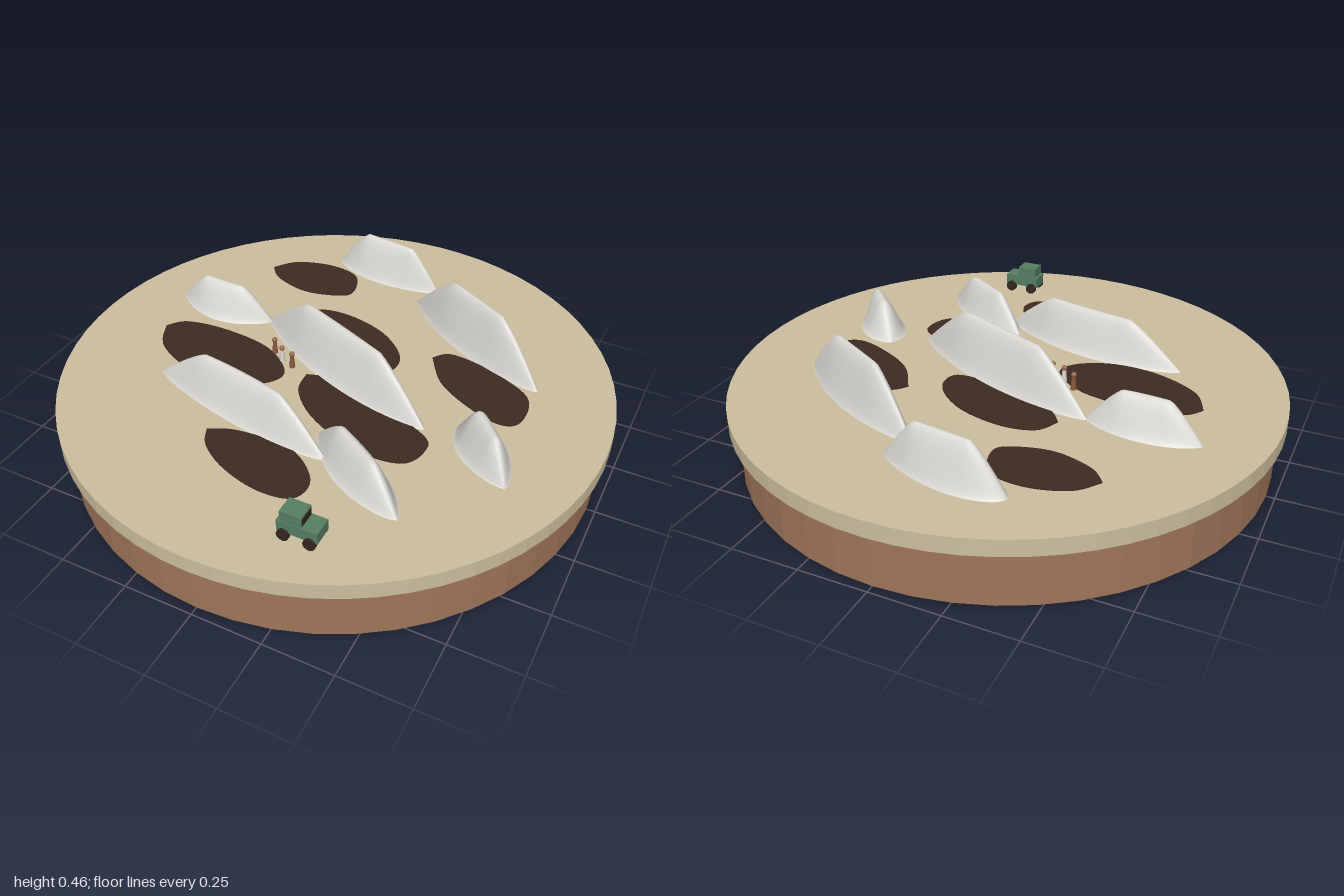
import * as THREE from 'three';

const mat = (name, color, extra = {}) => {
  const m = new THREE.MeshStandardMaterial({ color, ...extra });
  m.name = name;
  return m;
};

const GROUND = 0.26;

export function createModel() {
  const earth = mat('earthBrown', 0xa0765a, { flatShading: true });
  const sand = mat('sand', 0xcdbf9f, { flatShading: true });
  const pale = mat('paleRock', 0xdbd9d3, { side: THREE.DoubleSide });
  const dark = mat('darkHollow', 0x3c2b21);
  const green = mat('vehicleGreen', 0x567f62);
  const tyre = mat('tyreBrown', 0x33261f);
  const cloth = mat('brownCloth', 0x8a5a3c);
  const white = mat('whiteCloth', 0xdedad0);
  const skin = mat('skin', 0x9a6a4a);

  const model = new THREE.Group();
  model.name = 'duneDiorama';
  const add = (parent, name, geo, material, x = 0, y = 0, z = 0) => {
    const mesh = new THREE.Mesh(geo, material);
    mesh.name = name;
    mesh.position.set(x, y, z);
    parent.add(mesh);
    return mesh;
  };

  // Round base and sand slab
  add(model, 'base', new THREE.CylinderGeometry(0.97, 0.97, 0.2, 48), earth, 0, 0.1, 0);
  add(model, 'sandSlab', new THREE.CylinderGeometry(1, 1, 0.06, 64), sand, 0, 0.23, 0);

  // Dark hollows: thin plates with smooth closed outlines, given as [x, z]
  const hollows = [
    [[-0.56, -0.53], [-0.49, -0.61], [-0.35, -0.65], [-0.22, -0.62], [-0.18, -0.5], [-0.25, -0.45], [-0.37, -0.43], [-0.5, -0.47]],
    [[-0.3, -0.25], [-0.25, -0.33], [-0.12, -0.35], [0.05, -0.3], [0.17, -0.19], [0.16, -0.09], [0, -0.1], [-0.22, -0.17]],
    [[0.28, -0.24], [0.34, -0.29], [0.5, -0.26], [0.67, -0.17], [0.69, -0.03], [0.62, 0.01], [0.48, -0.04], [0.36, -0.12]],
    [[-0.72, 0.03], [-0.66, -0.03], [-0.5, -0.05], [-0.3, -0.02], [-0.17, 0.08], [-0.2, 0.17], [-0.33, 0.23], [-0.5, 0.22], [-0.66, 0.14]],
    [[-0.09, 0.06], [0.02, 0.04], [0.22, 0.1], [0.42, 0.18], [0.455, 0.25], [0.41, 0.34], [0.25, 0.35], [0.05, 0.27], [-0.07, 0.16]],
    [[-0.25, 0.48], [-0.15, 0.44], [0.05, 0.44], [0.18, 0.54], [0.17, 0.64], [0.05, 0.66], [-0.1, 0.62], [-0.21, 0.55]],
  ];
  for (const points of hollows) {
    const curve = new THREE.SplineCurve([...points, points[0]].map(([x, z]) => new THREE.Vector2(x, -z)));
    const geo = new THREE.ExtrudeGeometry(new THREE.Shape(curve.getPoints(48)), { depth: 0.004, bevelEnabled: false });
    geo.rotateX(-Math.PI / 2);
    add(model, 'hollow', geo, dark, 0, GROUND, 0);
  }

  // Elongated ridges: bell cross-section, flat crest, tapered ends
  const ridge = ({ from, to, half, height, bow = 0, skew = 1, flat = 0.76 }) => {
    const geo = new THREE.PlaneGeometry(1, 2, 48, 24);
    geo.rotateX(-Math.PI / 2);
    const dx = to[0] - from[0], dz = to[1] - from[1], length = Math.hypot(dx, dz);
    const pos = geo.attributes.position;
    for (let i = 0; i < pos.count; i++) {
      const t = (1 - Math.cos(Math.PI * (pos.getX(i) + 0.5))) / 2;
      const u = pos.getZ(i);
      const arch = Math.max(0, Math.sin(Math.PI * t));
      const width = half * Math.max(0, Math.sin(Math.PI * t ** skew)) ** 0.65;
      const side = bow * arch + u * width;
      const bell = Math.max(0, Math.cos(u * Math.PI / 2)) ** 1.5;
      pos.setXYZ(i,
        from[0] + dx * t - dz / length * side,
        GROUND + 0.001 + height * Math.min(1, arch / flat) * bell,
        from[1] + dz * t + dx / length * side);
    }
    geo.computeVertexNormals();
    add(model, 'ridge', geo, pale);
  };
  ridge({ from: [-0.57, 0.27], to: [0.18, 0.435], half: 0.082, height: 0.16, bow: -0.022 });
  ridge({ from: [-0.38, -0.195], to: [0.41, 0.15], half: 0.092, height: 0.19 });
  ridge({ from: [0.08, -0.57], to: [0.69, -0.22], half: 0.078, height: 0.2, flat: 0.83 });
  ridge({ from: [-0.335, -0.73], to: [0.13, -0.66], half: 0.078, height: 0.16, skew: 0.8 });
  ridge({ from: [-0.78, -0.2], to: [-0.37, -0.18], half: 0.085, height: 0.13, bow: 0.015, flat: 0.8 });
  ridge({ from: [0.52, 0.05], to: [0.75, 0.3], half: 0.085, height: 0.13, skew: 0.8, flat: 0.8 });
  ridge({ from: [0.1, 0.32], to: [0.5, 0.58], half: 0.08, height: 0.13, flat: 0.8 });

  // Small off-road vehicle facing +x
  const vehicle = new THREE.Group();
  vehicle.name = 'vehicle';
  vehicle.position.set(0.272, GROUND, 0.765);
  model.add(vehicle);
  add(vehicle, 'body', new THREE.BoxGeometry(0.14, 0.042, 0.072), green, 0, 0.048, 0);
  add(vehicle, 'cab', new THREE.BoxGeometry(0.075, 0.038, 0.066), green, -0.022, 0.088, 0);
  add(vehicle, 'windscreen', new THREE.BoxGeometry(0.003, 0.026, 0.056), tyre, 0.016, 0.087, 0);
  const wheel = new THREE.CylinderGeometry(0.021, 0.021, 0.016, 16).rotateX(Math.PI / 2);
  for (const x of [-0.045, 0.045])
    for (const z of [-0.038, 0.038]) add(vehicle, 'wheel', wheel, tyre, x, 0.021, z);

  // Three standing figures
  for (const [x, z, clothes] of [[-0.26, -0.01, cloth], [-0.21, 0.025, white], [-0.16, 0.04, cloth]]) {
    const figure = new THREE.Group();
    figure.name = 'figure';
    figure.position.set(x, GROUND, z);
    model.add(figure);
    add(figure, 'figureBody', new THREE.CylinderGeometry(0.007, 0.011, 0.05, 10), clothes, 0, 0.025, 0);
    add(figure, 'figureHead', new THREE.SphereGeometry(0.01, 12, 8), skin, 0, 0.058, 0);
  }

  return model;
}
